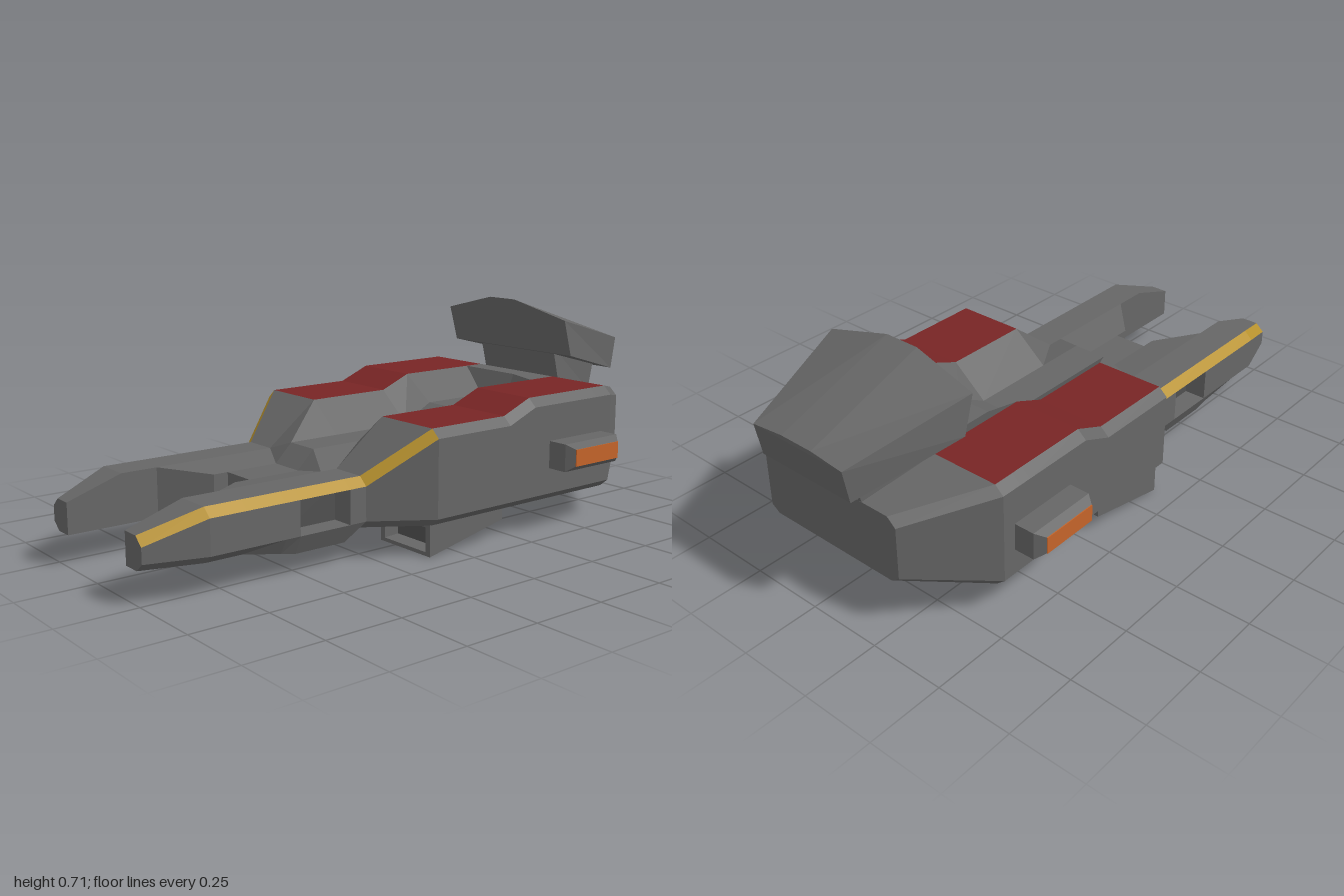
import * as THREE from 'three';

const paint = (name, color) => {
  const m = new THREE.MeshStandardMaterial({ color });
  m.name = name;
  return m;
};

// Flat-faced surface collector: every polygon is split into its own triangles
class Faces {
  constructor() { this.data = []; }
  poly(points, side = 1) {
    const pts = points.map(([x, y, z]) => new THREE.Vector3(x * side, y, z));
    if (side < 0) pts.reverse();
    for (let i = 1; i < pts.length - 1; i++) {
      const t = new THREE.Triangle(pts[0], pts[i], pts[i + 1]);
      if (t.getArea() > 1e-7) [t.a, t.b, t.c].forEach(v => this.data.push(v.x, v.y, v.z));
    }
  }
  // Skin over rings that run counter-clockwise seen from the last ring
  loft(rings, side = 1, capEnd = true) {
    const n = rings[0].length;
    for (let i = 0; i < rings.length - 1; i++)
      for (let j = 0; j < n; j++) {
        const k = (j + 1) % n;
        this.poly([rings[i][j], rings[i][k], rings[i + 1][k], rings[i + 1][j]], side);
      }
    this.poly([...rings[0]].reverse(), side);
    if (capEnd) this.poly(rings[rings.length - 1], side);
  }
  mesh(name, material) {
    const g = new THREE.BufferGeometry();
    g.setAttribute('position', new THREE.Float32BufferAttribute(this.data, 3));
    g.computeVertexNormals();
    const m = new THREE.Mesh(g, material);
    m.name = name;
    return m;
  }
}

// Hull stations: z, half width, deck y, chine y, trough x, trough y, keel y, inner keel y
const STATIONS = [
  [-0.91, 0.27, 0.39, 0.19, 0.06, 0.39, 0.17, 0.17],
  [-0.67, 0.445, 0.445, 0.125, 0.06, 0.445, 0.10, 0.10],
  [-0.60, 0.445, 0.445, 0.125, 0.06, 0.445, 0.10, 0.10],
  [-0.56, 0.445, 0.445, 0.125, 0.06, 0.36, 0.10, 0.10],
  [-0.31, 0.445, 0.445, 0.125, 0.06, 0.36, 0.10, 0.10],
  [-0.20, 0.445, 0.40, 0.125, 0.06, 0.30, 0.10, 0.10],
  [0.10, 0.445, 0.40, 0.125, 0.06, 0.30, 0.10, 0.10],
  [0.28, 0.325, 0.26, 0.125, 0.06, 0.30, 0.10, 0.10],
  [0.34, 0.325, 0.26, 0.125, 0.06, 0.24, 0.065, 0.12],
  [0.52, 0.325, 0.26, 0.125, 0.06, 0.24, 0.065, 0.12],
  [0.57, 0.325, 0.26, 0.125, 0.06, 0.24, 0.075, 0.12],
  [0.70, 0.325, 0.26, 0.125, 0.18, 0.26, 0.10, 0.10],
  [0.82, 0.325, 0.26, 0.125, 0.18, 0.26, 0.10, 0.10],
  [1.00, 0.27, 0.20, 0.125, 0.18, 0.20, 0.10, 0.10],
];

// Half cross-section from the centre of the deck round to the centre of the keel
const section = ([z, w, top, chine, tx, ty, keel, inner]) => [
  [0, ty], [tx, ty], [0.18, top], [w - 0.03, top], [w, top - 0.027],
  [w, chine], [w - 0.03, keel], [0.18, keel], [tx, inner], [0, inner],
].map(([x, y]) => [x, y, z]);

export function createModel() {
  const grey = paint('hullGrey', 0x666666);
  const dark = paint('recessGrey', 0x505050);
  const red = paint('panelRed', 0x782525);
  const yellow = paint('trimYellow', 0xb8922e);
  const orange = paint('lampOrange', 0xc4642a);
  const group = new THREE.Group();

  const hull = new Faces(), panels = new Faces(), trim = new Faces(), recess = new Faces();
  const S = STATIONS.map(section);
  const NOTCH = 9, last = S.length - 1;

  for (const side of [1, -1]) {
    for (let i = 0; i < last; i++) {
      const A = S[i], B = S[i + 1], z = STATIONS[i][0];
      for (let j = 0; j < 9; j++) {
        if (i >= NOTCH && (j === 0 || j === 8)) continue;   // open between the prongs
        const quad = [A[j], B[j], B[j + 1], A[j + 1]];
        if (j === 4 && z === 0.34) {
          // Sunken window in the flank
          const inside = quad.map(([, y, pz]) => [0.25, y, pz]);
          for (let k = 0; k < 4; k++) {
            const n = (k + 1) % 4;
            hull.poly([quad[k], quad[n], inside[n], inside[k]], side);
          }
          recess.poly(inside, side);
          continue;
        }
        const isPanel = j === 2 && z >= -0.67 && z < 0.1;
        const isTrim = j === 3 && z >= 0.1;
        (isPanel ? panels : isTrim ? trim : hull).poly(quad, side);
      }
      // Inner wall of the prong
      if (i >= NOTCH) hull.poly([A[8], B[8], B[1], A[1]], side);
    }
    hull.poly(S[0], side);                                           // stern
    hull.poly(S[last].slice(2, 8).reverse(), side);                  // prong tip
    hull.poly([S[NOTCH][9], S[NOTCH][8], S[NOTCH][1], S[NOTCH][0]], side); // notch end
  }
  group.add(hull.mesh('hull', grey), panels.mesh('deckPanels', red),
    trim.mesh('edgeTrim', yellow), recess.mesh('flankRecesses', dark));

  // Side pods with glowing ends, and wedge intakes under the belly
  const pods = new Faces(), lamps = new Faces(), intakes = new Faces(), mouths = new Faces();
  const podRing = (x, z0, z1, y0, y1) => [[x, y0, z1], [x, y0, z0], [x, y1, z0], [x, y1, z1]];
  const rect = (z, x0, x1, y0, y1) => [[x0, y0, z], [x1, y0, z], [x1, y1, z], [x0, y1, z]];
  for (const side of [1, -1]) {
    const end = [-0.60, -0.40, 0.23, 0.285];
    pods.loft([podRing(0.43, -0.625, -0.38, 0.21, 0.30),
      podRing(0.513, -0.625, -0.38, 0.21, 0.30), podRing(0.54, ...end)], side);
    lamps.loft([podRing(0.539, ...end), podRing(0.543, ...end)], side);

    const mouth = rect(0.05, 0.20, 0.395, 0.015, 0.09);
    intakes.loft([rect(-0.20, 0.18, 0.415, 0.065, 0.11), rect(0.105, 0.18, 0.415, 0, 0.102),
      rect(0.105, 0.20, 0.395, 0.012, 0.09), mouth], side, false);
    mouths.poly(mouth, side);
  }
  group.add(pods.mesh('sidePods', grey), lamps.mesh('podLamps', orange),
    intakes.mesh('bellyIntakes', grey), mouths.mesh('intakeMouths', dark));

  // Pylon carrying the tail wing
  const pylon = new Faces();
  pylon.loft([
    [[-0.14, 0.37, -0.905], [0.14, 0.37, -0.905], [0.14, 0.48, -0.93], [-0.14, 0.48, -0.93]],
    [[-0.18, 0.43, -0.70], [0.18, 0.43, -0.70], [0.18, 0.55, -0.67], [-0.18, 0.55, -0.67]],
  ]);
  group.add(pylon.mesh('tailPylon', grey));

  // Tilted tail wing, wide at the front and narrow at the back
  const wingRing = (w, [y0, z0], [y1, z1], [y2, z2]) => [
    [-w, y0, z0], [w, y0, z0], [w, y1, z1], [0.06, y2, z2], [-0.06, y2, z2], [-w, y1, z1],
  ];
  const wing = new Faces();
  wing.loft([
    wingRing(0.18, [0.445, -0.98], [0.555, -1], [0.568, -1]),
    wingRing(0.285, [0.532, -0.645], [0.655, -0.61], [0.71, -0.595]),
  ]);
  group.add(wing.mesh('tailWing', grey));

  return group;
}
